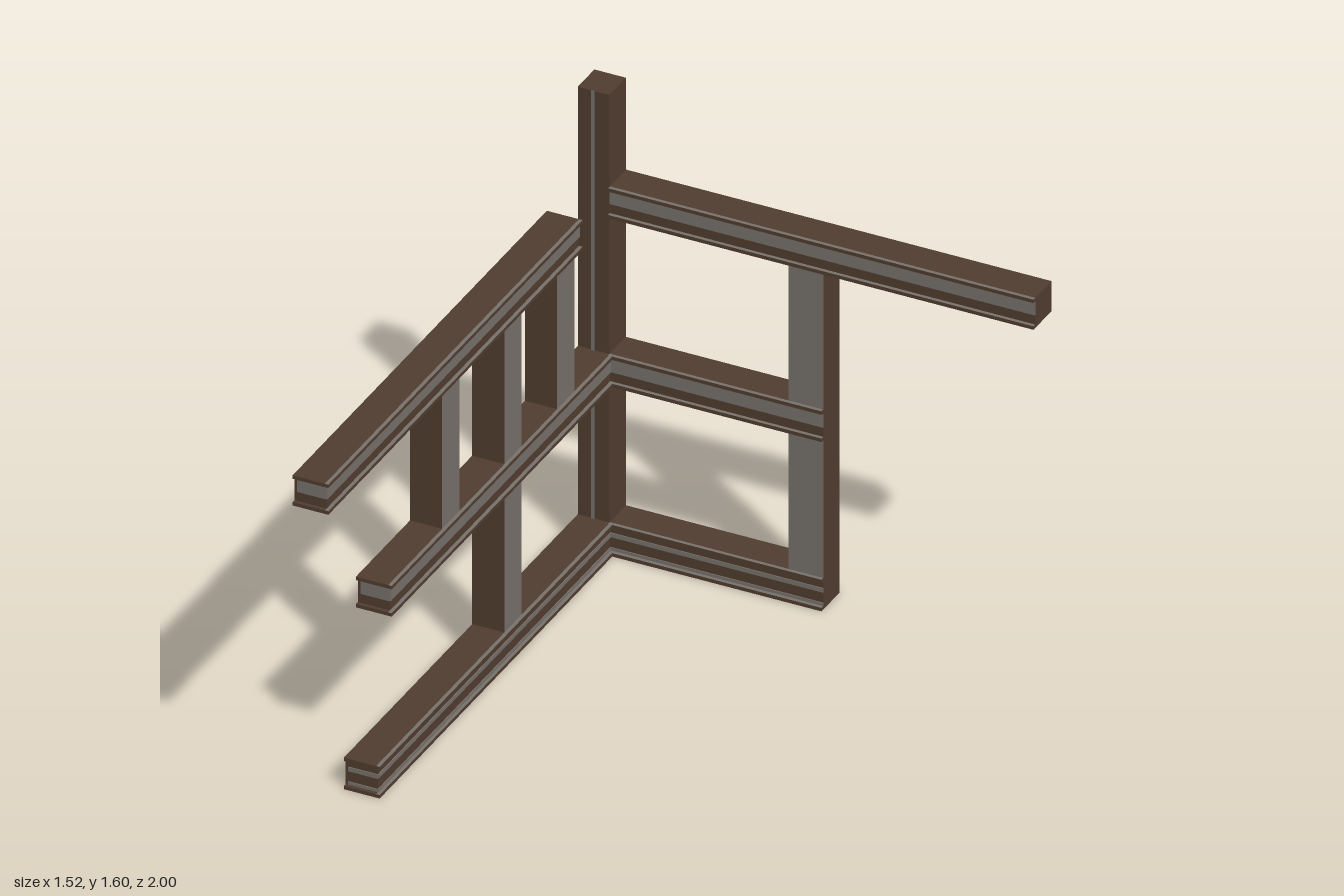
import * as THREE from 'three';

const wood = new THREE.MeshStandardMaterial({ color: 0x523d30 });
wood.name = 'dark timber';
const grey = new THREE.MeshStandardMaterial({ color: 0x78726c });
grey.name = 'grey core';

const DEPTH = 0.107; // beam thickness
const LIP = 0.012;   // flange overhang and thickness

// Box given by its minimum and maximum corners
function block(parent, name, material, [x0, y0, z0], [x1, y1, z1]) {
  const mesh = new THREE.Mesh(new THREE.BoxGeometry(x1 - x0, y1 - y0, z1 - z0), material);
  mesh.position.set((x0 + x1) / 2, (y0 + y1) / 2, (z0 + z1) / 2);
  mesh.name = name;
  parent.add(mesh);
}

// Horizontal beam along local x, its grooved inner face towards local +z.
// bands are the grey strips of the groove; a grooved end is recessed at x0.
function rail(wall, name, x0, x1, y0, y1, bands, groovedEnd) {
  const beam = new THREE.Group();
  beam.name = name;
  const start = groovedEnd ? x0 + LIP : x0;
  block(beam, 'beamCore', wood, [start, y0 + LIP, 0], [x1, y1 - LIP, DEPTH]);
  const flange = [wood, wood, wood, wood, wood, wood];
  for (const y of [y0, y1 - LIP]) {
    block(beam, 'flange', flange, [x0, y, 0], [x1, y + LIP, DEPTH]);
    // inner lip with a grey upper face
    block(beam, 'flangeLip', [wood, wood, grey, wood, wood, wood], [x0, y, DEPTH], [x1, y + LIP, DEPTH + LIP]);
  }
  for (const [a, b] of bands) {
    block(beam, 'grooveStrip', grey, [start, y0 + a, DEPTH], [x1, y0 + b, DEPTH + 0.003]);
    if (groovedEnd) block(beam, 'endStrip', grey, [start - 0.003, y0 + a, 0.01], [start, y0 + b, DEPTH]);
  }
  wall.add(beam);
}

// Upright with a grey inner face
function stud(wall, x0, x1, y0, y1) {
  block(wall, 'stud', [wood, wood, wood, wood, grey, wood], [x0, y0, 0], [x1, y1, DEPTH]);
}

export function createModel() {
  const model = new THREE.Group();
  model.name = 'timberCorner';
  const upper = [[0.045, 0.09]];
  const lower = [[0.014, 0.024], [0.06, 0.075]];

  // Corner post
  block(model, 'cornerPost', wood, [-0.76, 0, -1], [-0.655, 1.6, -0.89]);
  block(model, 'postStrip', grey, [-0.714, 0.11, -0.89], [-0.704, 1.6, -0.887]);

  // Back wall
  const back = new THREE.Group();
  back.name = 'backWall';
  back.position.z = -1;
  rail(back, 'topRail', -0.655, 0.76, 1.175, 1.28, upper, false);
  rail(back, 'middleRail', -0.655, 0.055, 0.59, 0.697, upper, false);
  rail(back, 'bottomRail', -0.655, 0.055, 0, 0.11, lower, false);
  stud(back, -0.06, 0.055, 0.11, 0.59);
  stud(back, -0.06, 0.055, 0.697, 1.175);
  model.add(back);

  // Side wall: local x runs towards the back
  const side = new THREE.Group();
  side.name = 'sideWall';
  side.rotation.y = Math.PI / 2;
  side.position.x = -0.76;
  rail(side, 'topRail', -1, 0.685, 1.175, 1.28, upper, true);
  rail(side, 'middleRail', -0.58, 0.89, 0.59, 0.697, upper, true);
  rail(side, 'bottomRail', -0.66, 0.89, 0, 0.11, lower, true);
  for (const x of [-0.222, 0.19, 0.54]) stud(side, x, x + 0.115, 0.697, 1.175);
  stud(side, 0.19, 0.305, 0.11, 0.59);
  model.add(side);

  return model;
}
